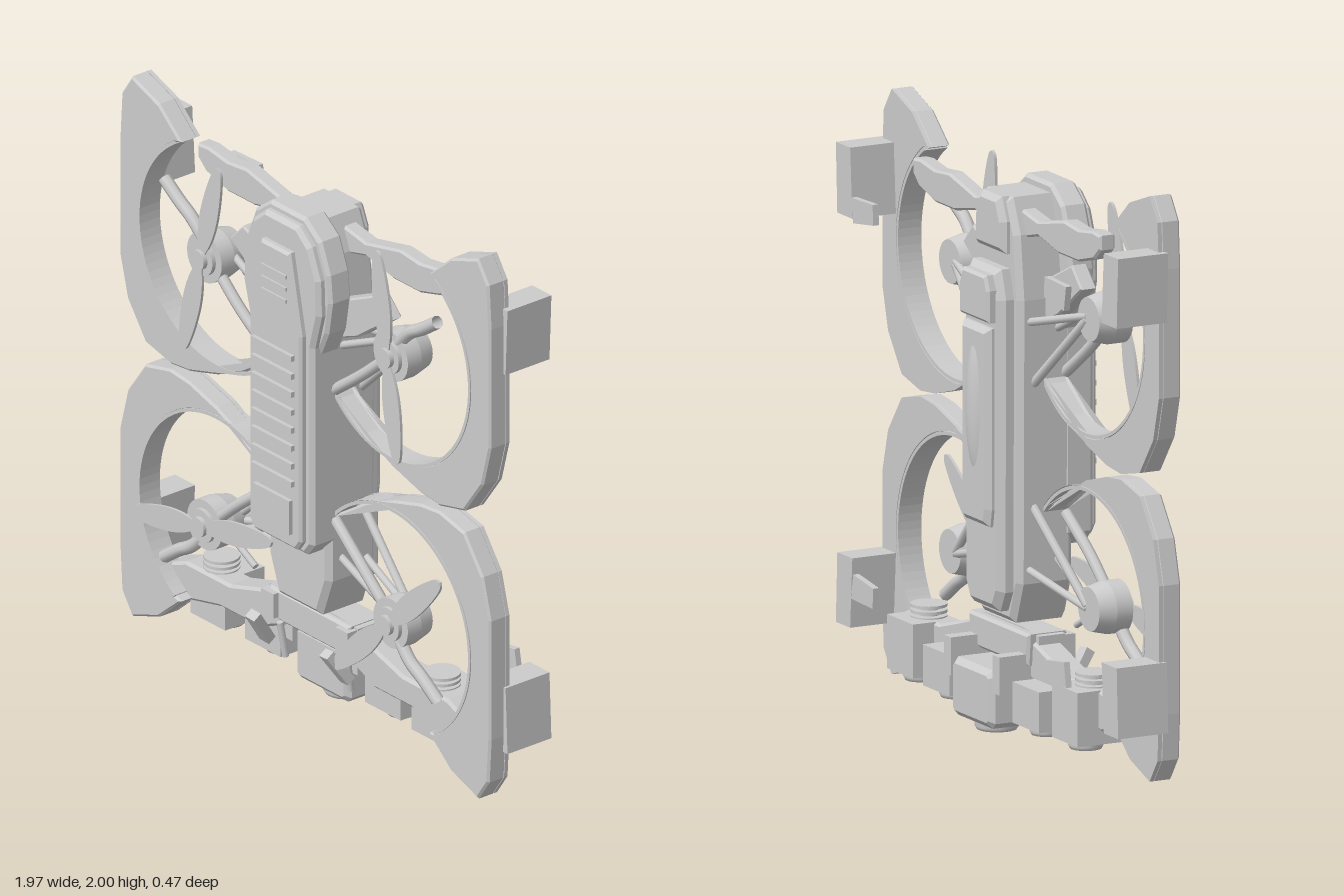
import * as THREE from 'three';

const grey = new THREE.MeshStandardMaterial({ color: 0xcccccc, side: THREE.DoubleSide });
const flat = new THREE.MeshStandardMaterial({ color: 0xcccccc, flatShading: true });

export function createModel() {
  const root = new THREE.Group();

  const add = (name, geo, mat = grey, parent = root) => {
    const m = new THREE.Mesh(geo, mat);
    m.name = name;
    parent.add(m);
    return m;
  };
  // box given by its lower and upper limits
  const box = (name, x0, x1, y0, y1, z0, z1) => {
    const m = add(name, new THREE.BoxGeometry(Math.abs(x1 - x0), y1 - y0, z1 - z0), flat);
    m.position.set((x0 + x1) / 2, (y0 + y1) / 2, (z0 + z1) / 2);
    return m;
  };
  // outline in x/y, extruded between two depths, with optional chamfer
  const slab = (name, pts, z0, z1, chamfer = 0) => {
    const shape = new THREE.Shape(pts.map(p => new THREE.Vector2(p[0], p[1])));
    const geo = new THREE.ExtrudeGeometry(shape, {
      depth: z1 - z0 - 2 * chamfer, bevelEnabled: chamfer > 0, bevelSegments: 1,
      bevelSize: chamfer, bevelThickness: chamfer, bevelOffset: -chamfer,
    });
    geo.translate(0, 0, z0 + chamfer);
    return add(name, geo);
  };
  // symmetric outline from its right half, listed bottom to top
  const both = half => [...half, ...half.slice().reverse().map(([x, y]) => [-x, y])];
  const tube = (name, pts, r) => {
    const curve = new THREE.CatmullRomCurve3(pts.map(p => new THREE.Vector3(...p)));
    return add(name, new THREE.TubeGeometry(curve, 12, r, 8));
  };
  const rod = (name, a, b, r) => {
    const A = new THREE.Vector3(...a), d = new THREE.Vector3(...b).sub(A);
    const m = add(name, new THREE.CylinderGeometry(r, r, d.length(), 8));
    m.position.copy(A).addScaledVector(d, 0.5);
    m.quaternion.setFromUnitVectors(new THREE.Vector3(0, 1, 0), d.normalize());
    return m;
  };
  // disc facing the front
  const disc = (name, x, y, z0, z1, r0, r1 = r0) => {
    const geo = new THREE.CylinderGeometry(r1, r0, z1 - z0, 32).rotateX(Math.PI / 2);
    add(name, geo).position.set(x, y, (z0 + z1) / 2);
  };
  // lens with stepped rim facing down
  const lens = (name, x, y, z, r) => {
    const pts = [[0, 0.012], [r * 0.55, 0], [r * 0.7, -0.012], [r * 0.9, -0.012], [r, 0], [r, 0.03]]
      .map(p => new THREE.Vector2(p[0], p[1]));
    add(name, new THREE.LatheGeometry(pts, 24)).position.set(x, y, z);
  };

  // fuselage, behind the front shell
  slab('fuselage', both([[0.11, 0.39], [0.16, 0.53], [0.165, 1.5], [0.14, 1.72], [0.09, 1.84]]), -0.09, 0.12, 0.02);
  slab('rearHull', both([[0.09, 0.43], [0.125, 0.5], [0.13, 1.5], [0.1, 1.6]]), -0.145, -0.05, 0.025);
  slab('rearPlate', both([[0.085, 0.72], [0.095, 0.78], [0.095, 1.4]]), -0.175, -0.12, 0.02);
  slab('rearPack', both([[0.1, 1.42], [0.1, 1.53], [0.08, 1.58]]), -0.175, -0.1, 0.01);
  slab('rearCap', both([[0.1, 1.65], [0.1, 1.76], [0.065, 1.84]]), -0.12, 0, 0.02);
  const dome = add('rearDome', new THREE.SphereGeometry(1, 24, 16));
  dome.scale.set(0.06, 0.26, 0.05);
  dome.position.set(0, 1.12, -0.145);

  // front shell in three steps
  slab('headShell', both([[0.16, 1.38], [0.205, 1.48], [0.225, 1.6], [0.215, 1.7], [0.17, 1.81], [0.09, 1.87]]), 0.07, 0.165, 0.012);
  slab('frontShell', both([[0.13, 0.645], [0.165, 0.69], [0.165, 1.42], [0.2, 1.55], [0.195, 1.68], [0.15, 1.79], [0.085, 1.845]]), 0.08, 0.195, 0.015);
  slab('frontPanel', both([[0.11, 0.665], [0.135, 0.7], [0.135, 1.46], [0.075, 1.75]]), 0.17, 0.22, 0.01);
  for (let i = 0; i < 8; i++) {
    const y = 1.375 - i * 0.0665;
    box('vent', -0.105, 0.105, y - 0.01, y + 0.01, 0.21, 0.235);
  }
  for (let i = 0; i < 3; i++) {
    const y = 1.57 + i * 0.045;
    box('upperVent', -0.065, 0.065, y - 0.007, y + 0.007, 0.21, 0.227);
  }
  box('frontHatch', -0.095, 0.095, 0.72, 0.845, 0.21, 0.235);

  // two-bladed propeller outline, pointing up and down
  const blade = [[0.018, 0.03], [0.036, 0.1], [0.043, 0.18], [0.036, 0.28], [0.02, 0.36], [0, 0.38]];
  const propeller = (x, y, angle) => {
    const g = new THREE.Group();
    g.name = 'propeller';
    for (const turn of [0, Math.PI]) {
      const shape = new THREE.Shape();
      shape.moveTo(-0.015, 0);
      shape.lineTo(0.015, 0);
      shape.splineThru(blade.map(p => new THREE.Vector2(p[0], p[1])));
      shape.splineThru(blade.slice(0, 5).reverse().map(p => new THREE.Vector2(-p[0], p[1])));
      const geo = new THREE.ExtrudeGeometry(shape, { depth: 0.01, bevelEnabled: false, curveSegments: 4 });
      add('blade', geo, grey, g).rotation.z = turn;
    }
    g.position.set(x, y, 0.13);
    g.rotation.z = angle;
    root.add(g);
  };

  for (const s of [1, -1]) {
    for (const up of [true, false]) {
      // lower quarter mirrors the upper one about y = 1
      const Y = y => (up ? y : 2 - y);
      const P = (x, y, z) => [s * x, Y(y), z];

      // crescent rotor guard with polygonal outer edge and round inner edge
      const arc = (r, n = 48) => Array.from({ length: n + 1 }, (_, i) => {
        const a = THREE.MathUtils.degToRad(57 - i * (57 + 138) / n);
        return [s * (0.455 + r * Math.cos(a)), Y(1.5 + r * Math.sin(a))];
      });
      const outer = [[0.18, 1.21], [0.32, 1.12], [0.46, 1.06], [0.6, 1.02], [0.7, 1.01], [0.83, 1.04],
        [0.925, 1.17], [0.965, 1.32], [0.965, 1.76], [0.955, 1.92], [0.9, 2.0], [0.76, 1.95], [0.645, 1.85]]
        .map(([x, y]) => [s * x, Y(y)]);
      slab('rotorGuard', [...arc(0.405), ...outer], 0.015, 0.09, 0.008);
      slab('guardRim', [...arc(0.4), ...arc(0.412).reverse()], 0.005, 0.093);
      // thin backing plate of the guard
      slab('guardBack', [...arc(0.415), ...outer.slice(2)], 0.005, 0.02);

      // landing block on the outer edge
      const block = slab('landingBlock', [[0.87, 1.58], [0.975, 1.58], [0.985, 1.82], [0.885, 1.82]]
        .map(([x, y]) => [s * x, Y(y)]), -0.16, 0.03);
      block.name = up ? 'upperLandingBlock' : 'lowerLandingBlock';

      // small plate standing clear behind the rotor
      slab('rearTab', [[0.6, 1.69], [0.75, 1.685], [0.735, 1.6], [0.595, 1.62]].map(([x, y]) => [s * x, Y(y)]), -0.23, -0.208);

      // motor with stepped hub
      const mx = s * 0.485, my = Y(1.495);
      disc('motorBase', mx, my, 0.0, 0.06, 0.075, 0.09);
      disc('motor', mx, my, 0.06, 0.12, 0.09);
      disc('motorCap', mx, my, 0.12, 0.135, 0.06);
      disc('hub', mx, my, 0.13, 0.152, 0.035);
      propeller(mx, my, up ? (s < 0 ? -0.25 : 0.14) : (s < 0 ? 1.78 : -0.82));

      // arm and braces to the body, curved stub outwards
      tube('arm', [P(0.16, 1.24, 0.09), P(0.32, 1.36, 0.1), P(0.46, 1.48, 0.1)], 0.02);
      tube('armStub', [P(0.5, 1.54, 0.1), P(0.57, 1.61, 0.105), P(0.63, 1.645, 0.105), P(0.71, 1.7, 0.105)], 0.023);
      rod('upperBrace', P(0.15, 1.39, 0.06), P(0.46, 1.53, 0.05), 0.014);
      rod('rearBrace', P(0.14, 1.2, -0.03), P(0.46, 1.49, 0.01), 0.016);
      rod('crossBrace', P(0.14, 1.42, -0.05), P(0.46, 1.5, 0.01), 0.014);
    }

    // upper wing and shoulder panel
    slab('upperWing', [[0.1, 1.7], [0.22, 1.73], [0.36, 1.7], [0.5, 1.7], [0.61, 1.73], [0.655, 1.77], [0.655, 1.82],
      [0.6, 1.825], [0.5, 1.81], [0.4, 1.82], [0.22, 1.78], [0.1, 1.8]].map(([x, y]) => [s * x, y]), -0.05, 0.01, 0.008);
    slab('shoulderPanel', [[0.15, 1.42], [0.25, 1.46], [0.415, 1.58], [0.345, 1.65], [0.15, 1.56]]
      .map(([x, y]) => [s * x, y]), 0.01, 0.07, 0.006);

    // lower wing
    slab('lowerWing', [[0.18, 0.22], [0.3, 0.17], [0.5, 0.17], [0.68, 0.13], [0.78, 0.16], [0.78, 0.23], [0.68, 0.27],
      [0.45, 0.27], [0.28, 0.32], [0.18, 0.35]].map(([x, y]) => [s * x, y]), -0.06, 0.04, 0.01);
    // sensor pods under the wing
    box('innerPod', s * 0.22, s * 0.405, 0.08, 0.22, -0.145, 0.01);
    lens('innerLens', s * 0.315, 0.065, -0.07, 0.055);
    box('outerPod', s * 0.485, s * 0.665, 0.085, 0.27, -0.14, 0.03);
    lens('outerLens', s * 0.575, 0.07, -0.06, 0.06);
    // stacked rings above the outer pod
    for (let i = 0; i < 4; i++) {
      const c = add('coolingRing', new THREE.CylinderGeometry(0.062, 0.062, 0.01, 24));
      c.position.set(s * 0.575, 0.25 + i * 0.02, -0.03);
    }
    add('ringCore', new THREE.CylinderGeometry(0.035, 0.035, 0.1, 16)).position.set(s * 0.575, 0.265, -0.03);

    // gimbal cheek and tilted front strut
    box('gimbalCheek', s * 0.145, s * 0.193, 0.17, 0.3, -0.18, 0.02);
    const strut = add('frontStrut', new THREE.BoxGeometry(0.045, 0.14, 0.035), flat);
    strut.position.set(s * 0.2, 0.235, 0.115);
    strut.rotation.set(0.6, 0, s * 0.12);
    box('strutMount', s * 0.16, s * 0.225, 0.27, 0.36, 0.02, 0.09);
    rod('strutPin', [s * 0.17, 0.11, 0.03], [s * 0.175, 0.24, 0.05], 0.012);
  }

  // centre of the lower wing with the main camera
  slab('wingCentre', both([[0.13, 0.255], [0.2, 0.26], [0.21, 0.37]]), -0.08, 0.07, 0.01);
  slab('wingTopPlate', both([[0.23, 0.32], [0.23, 0.365], [0.12, 0.375]]), -0.05, 0.05);
  slab('cameraPod', both([[0.12, 0.04], [0.14, 0.06], [0.14, 0.22], [0.12, 0.24]]), -0.185, 0.02, 0.02);
  lens('cameraLens', 0, 0.022, -0.085, 0.075);

  // single rod on the lower right motor
  rod('antennaRod', [-0.43, 0.48, 0.06], [-0.29, 0.405, 0.06], 0.012);

  return root;
}
